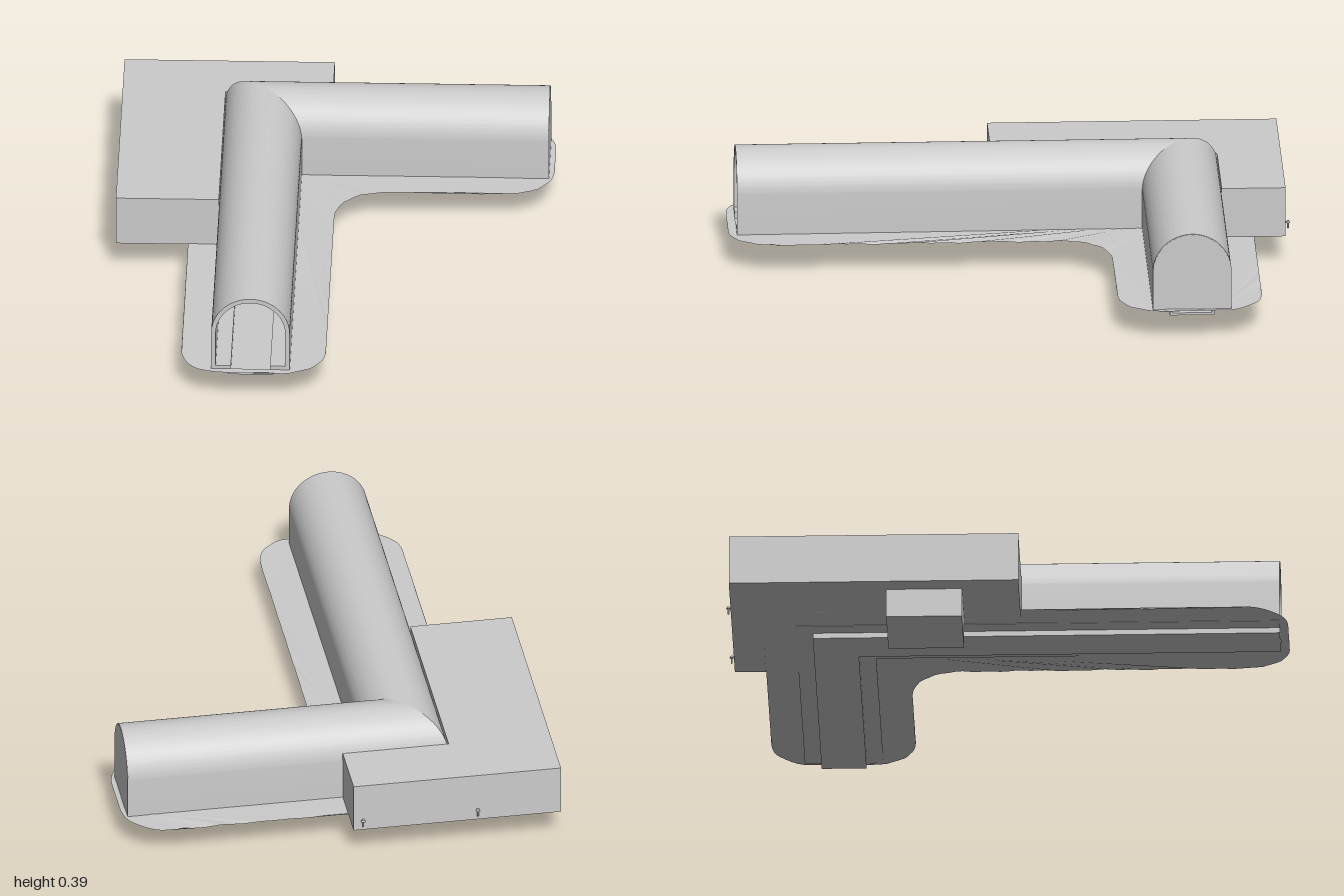
import * as THREE from 'three';
import { toCreasedNormals } from 'three/addons/utils/BufferGeometryUtils.js';

const CX = -0.265, CZ = -0.615;      // centre lines of the two tunnel legs
const Z_END = 0.97, X_END = 0.755;   // far ends of the legs
const FLOOR = 0.105, SPRING = 0.25;

const grey = new THREE.MeshStandardMaterial({ color: 0xcccccc });
const thin = new THREE.MeshStandardMaterial({ color: 0xcccccc, side: THREE.DoubleSide });

function add(parent, name, geometry, x = 0, y = 0, z = 0, material = grey) {
  const mesh = new THREE.Mesh(geometry, material);
  mesh.name = name;
  mesh.position.set(x, y, z);
  parent.add(mesh);
  return mesh;
}

function polygon(points) {
  return new THREE.Shape(points.map(([x, y]) => new THREE.Vector2(x, y)));
}

// Polygon in (x, z) with softened corners; the third value is the corner radius
function roundedOutline(points) {
  const shape = new THREE.Shape();
  const n = points.length;
  points.forEach(([x, z, r], i) => {
    const p = new THREE.Vector2(x, -z);
    const toward = ([a, b]) => new THREE.Vector2(a, -b).sub(p).setLength(r).add(p);
    const a = toward(points[(i + n - 1) % n]), b = toward(points[(i + 1) % n]);
    if (i === 0) shape.moveTo(a.x, a.y); else shape.lineTo(a.x, a.y);
    const k = 0.6;
    const c1 = a.clone().lerp(p, k), c2 = b.clone().lerp(p, k);
    shape.bezierCurveTo(c1.x, c1.y, c2.x, c2.y, b.x, b.y);
  });
  shape.closePath();
  return shape;
}

// Profile (offset from centre line, height) run along both legs with a mitred corner
function sweepL(parent, name, shape) {
  const group = new THREE.Group();
  group.name = name;
  for (const alongX of [false, true]) {
    const geo = new THREE.ExtrudeGeometry(shape, { depth: 1, bevelEnabled: false, curveSegments: 32 });
    const p = geo.attributes.position;
    for (let i = 0; i < p.count; i++) {
      const d = p.getX(i), far = p.getZ(i) > 0.5;
      p.setX(i, alongX && far ? X_END : CX + d);
      p.setZ(i, !alongX && far ? Z_END : CZ + d);
    }
    if (alongX) { // the second leg is a mirror image, so turn its faces round
      const a = new THREE.Vector3(), b = new THREE.Vector3();
      for (let i = 0; i < p.count; i += 3) {
        a.fromBufferAttribute(p, i + 1);
        b.fromBufferAttribute(p, i + 2);
        p.setXYZ(i + 1, b.x, b.y, b.z);
        p.setXYZ(i + 2, a.x, a.y, a.z);
      }
    }
    geo.computeVertexNormals();
    add(group, name + (alongX ? 'SideLeg' : 'FrontLeg'), toCreasedNormals(geo, 0.5));
  }
  parent.add(group);
}

export function createModel() {
  const model = new THREE.Group();
  model.name = 'tunnelBuilding';

  // Barrel-vaulted tunnel shell
  const vault = new THREE.Shape();
  vault.moveTo(0.14, FLOOR);
  vault.lineTo(0.14, SPRING);
  vault.absarc(0, SPRING, 0.14, 0, Math.PI, false);
  vault.lineTo(-0.14, FLOOR);
  vault.lineTo(-0.124, FLOOR);
  vault.lineTo(-0.124, SPRING);
  vault.absarc(0, SPRING, 0.124, Math.PI, 0, true);
  vault.lineTo(0.124, FLOOR);
  sweepL(model, 'vault', vault);

  // Wall closing the side leg
  const arch = new THREE.Shape();
  arch.moveTo(0.138, FLOOR);
  arch.lineTo(0.138, SPRING);
  arch.absarc(0, SPRING, 0.138, 0, Math.PI, false);
  arch.lineTo(-0.138, FLOOR);
  const wall = new THREE.ExtrudeGeometry(arch, { depth: 0.016, bevelEnabled: false, curveSegments: 32 });
  wall.rotateY(Math.PI / 2);
  add(model, 'endWall', toCreasedNormals(wall, 0.5), X_END - 0.015, 0, CZ);

  // Sunken walkway with a raised ledge on each side
  sweepL(model, 'walkway', polygon([
    [-0.08, 0.085], [0.08, 0.085], [0.08, 0.12], [0.07, 0.12],
    [0.07, 0.094], [-0.07, 0.094], [-0.07, 0.12], [-0.08, 0.12],
  ]));
  for (const s of [-1, 1]) {
    const a = s < 0 ? -0.125 : 0.08, b = s < 0 ? -0.08 : 0.125;
    sweepL(model, s < 0 ? 'outerLedge' : 'innerLedge', polygon([[a, FLOOR], [b, FLOOR], [b, 0.12], [a, 0.12]]));
  }

  // Rippled ground sheet around the tunnel, cut out over the walkway
  const outline = roundedOutline([
    [-0.515, 1, 0.16], [0, 1, 0.16], [0, -0.355, 0.2], [0.775, -0.355, 0.18],
    [0.775, -0.87, 0.18], [-0.515, -0.87, 0.16],
  ]);
  const ground = new THREE.Shape(outline.getSpacedPoints(220));
  const w = 0.08;
  ground.holes.push(polygon([
    [CX - w, -Z_END], [CX + w, -Z_END], [CX + w, -CZ - w],
    [X_END, -CZ - w], [X_END, -CZ + w], [CX - w, -CZ + w],
  ]));
  const sheet = new THREE.ShapeGeometry(ground);
  sheet.rotateX(-Math.PI / 2);
  const p = sheet.attributes.position;
  for (let i = 0; i < p.count; i++) {
    const x = p.getX(i), z = p.getZ(i);
    p.setY(i, 0.108 + 0.0015 * Math.sin(x * 37 + z * 23) + 0.0015 * Math.sin(z * 61 - x * 47));
  }
  sheet.computeVertexNormals();
  add(model, 'groundSheet', sheet, 0, 0, 0, thin);

  // Flat-roofed building wrapped round the outside of the corner
  const plan = polygon([
    [-0.772, -0.05], [-0.405, -0.05], [-0.405, 0.754],
    [-0.022, 0.754], [-0.022, 0.982], [-0.772, 0.982],
  ]);
  const block = new THREE.ExtrudeGeometry(plan, { depth: 0.183, bevelEnabled: false });
  block.rotateX(-Math.PI / 2);
  add(model, 'building', block, 0, 0.107, 0);

  // Basement block below the building
  add(model, 'basement', new THREE.BoxGeometry(0.27, 0.108, 0.27), -0.568, 0.054, -0.288);

  // Small outdoor fixtures on the back wall
  for (const x of [-0.47, -0.055]) {
    const fixture = new THREE.Group();
    fixture.name = 'backWallFixture';
    fixture.position.set(x, 0.145, -0.982);
    add(fixture, 'bracket', new THREE.BoxGeometry(0.006, 0.006, 0.014), 0, 0.004, -0.005);
    add(fixture, 'stem', new THREE.CylinderGeometry(0.003, 0.003, 0.026, 8), 0, -0.006, -0.01);
    add(fixture, 'cap', new THREE.CylinderGeometry(0.005, 0.008, 0.007, 12), 0, 0.006, -0.01);
    model.add(fixture);
  }

  // Row of pedestal stools along the back wall of the side leg
  for (let i = 0; i < 22; i++) {
    const stool = new THREE.Group();
    stool.name = 'stool';
    stool.position.set(-0.36 + i * 0.05, 0.12, -0.705);
    add(stool, 'seat', new THREE.CylinderGeometry(0.013, 0.013, 0.005, 16), 0, 0.033, 0);
    add(stool, 'post', new THREE.CylinderGeometry(0.003, 0.003, 0.032, 8), 0, 0.016, 0);
    add(stool, 'foot', new THREE.CylinderGeometry(0.007, 0.007, 0.003, 12), 0, 0.0015, 0);
    model.add(stool);
  }

  // Shallow pendant lamps above the stools
  const shadeProfile = [[0.036, 0], [0.028, 0.006], [0.014, 0.01], [0, 0.011]]
    .map(([r, y]) => new THREE.Vector2(r, y));
  for (let i = 0; i < 7; i++) {
    const lamp = new THREE.Group();
    lamp.name = 'pendantLamp';
    lamp.position.set(-0.332 + i * 0.147, 0.222, -0.7);
    add(lamp, 'shade', new THREE.LatheGeometry(shadeProfile, 24), 0, 0, 0, thin);
    add(lamp, 'cord', new THREE.CylinderGeometry(0.0015, 0.0015, 0.11, 6), 0, 0.065, 0);
    model.add(lamp);
  }

  return model;
}
